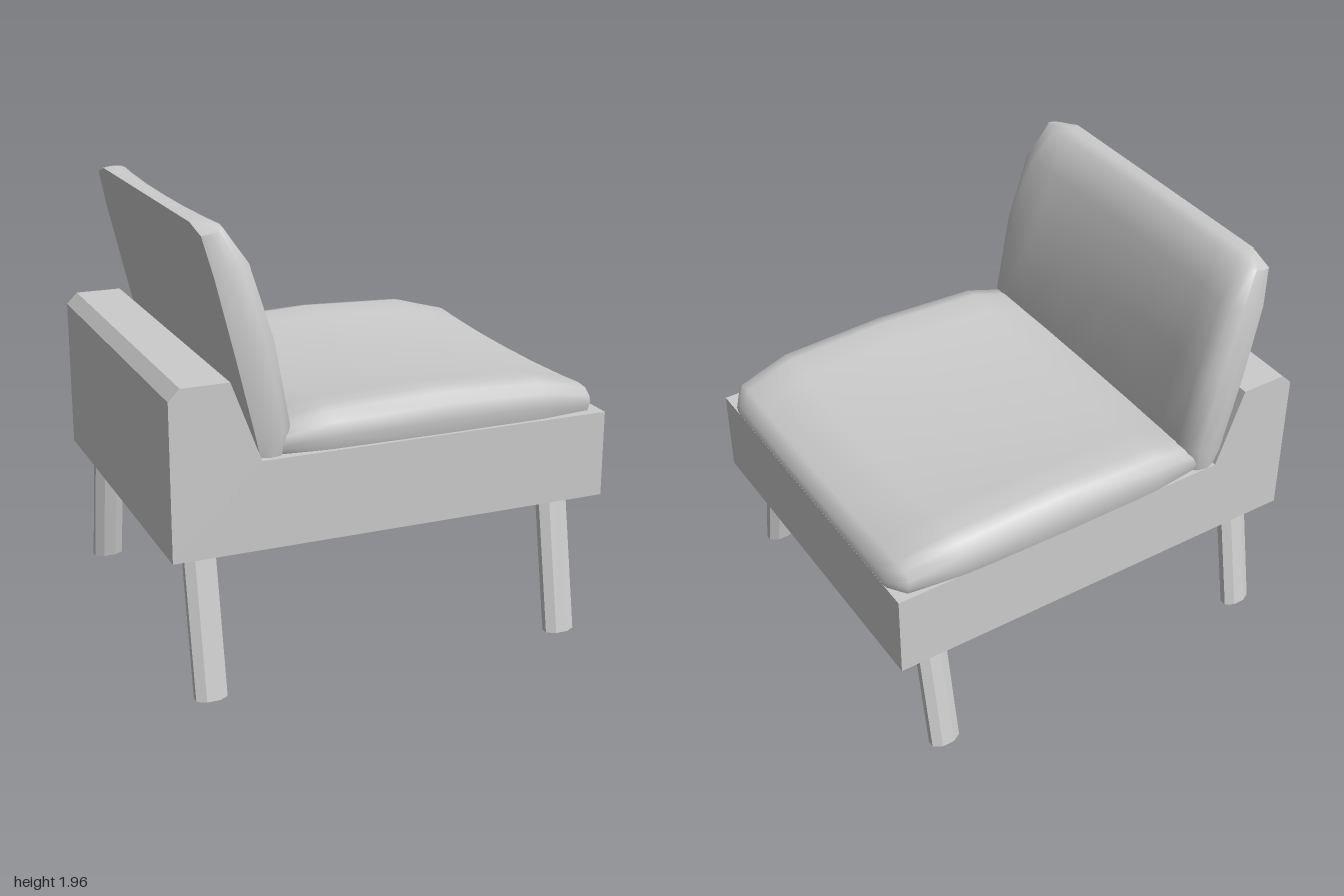
import * as THREE from 'three';
import { toCreasedNormals } from 'three/addons/utils/BufferGeometryUtils.js';

const grey = new THREE.MeshStandardMaterial({ color: 0xcccccc });
const greyDouble = new THREE.MeshStandardMaterial({ color: 0xcccccc, side: THREE.DoubleSide });

function part(name, geometry, material = grey) {
  const mesh = new THREE.Mesh(geometry, material);
  mesh.name = name;
  return mesh;
}

// Half of the cushion cross-section: [width fraction, height fraction], raised towards the sides
const HALF = [[0, 0.8], [0.35, 0.825], [0.7, 0.92], [0.87, 1], [0.95, 0.93], [0.99, 0.7], [1, 0.35], [0.98, 0]];
const SECTION = [
  ...HALF.slice(1).reverse().map(([z, h]) => [-z, h]),
  ...HALF,
  [0, 0],
];

// Cushion skinned over stations of [position, thickness, half width]
function cushionGeometry(stations) {
  const n = SECTION.length;
  const positions = [];
  const index = [];
  for (const [x, thick, width] of stations) {
    for (const [z, h] of SECTION) positions.push(x, h * thick, z * width);
  }
  for (let i = 0; i < stations.length - 1; i++) {
    for (let k = 0; k < n; k++) {
      const a = i * n + k, d = i * n + (k + 1) % n;
      const b = a + n, c = d + n;
      index.push(a, c, b, a, d, c);
    }
  }
  const geo = new THREE.BufferGeometry();
  geo.setAttribute('position', new THREE.Float32BufferAttribute(positions, 3));
  geo.setIndex(index);
  return toCreasedNormals(geo, 1.0);
}

// Hollow frame, open underneath: two side panels joined by strips along the outline
function buildFrame() {
  const frame = new THREE.Group();
  frame.name = 'frame';
  const outline = [[-1, 0.6], [-1, 1.29], [-0.95, 1.34], [-0.74, 1.34], [-0.61, 0.99], [1, 0.99], [1, 0.6]];
  const zLeft = 0.77, zRight = -0.84;
  const panel = new THREE.ShapeGeometry(new THREE.Shape(outline.map(([x, y]) => new THREE.Vector2(x, y))));
  for (const [name, z] of [['sidePanelFront', zLeft], ['sidePanelBack', zRight]]) {
    const side = part(name, panel, greyDouble);
    side.position.z = z;
    if (z < 0) {
      side.geometry = panel.clone().scale(-1, 1, 1);
      side.rotation.y = Math.PI;
    }
    frame.add(side);
  }
  const pos = [];
  for (let i = 0; i < outline.length - 1; i++) {
    const [x0, y0] = outline[i], [x1, y1] = outline[i + 1];
    pos.push(x0, y0, zRight, x0, y0, zLeft, x1, y1, zLeft);
    pos.push(x0, y0, zRight, x1, y1, zLeft, x1, y1, zRight);
  }
  const strip = new THREE.BufferGeometry();
  strip.setAttribute('position', new THREE.Float32BufferAttribute(pos, 3));
  strip.computeVertexNormals();
  frame.add(part('frameShell', strip, greyDouble));
  return frame;
}

// Splayed leg with an oval eight-sided section, sheared so both ends stay level
function legGeometry(side) {
  const height = 0.75;
  const geo = new THREE.CylinderGeometry(1, 1, height, 8);
  geo.rotateY(Math.PI / 8);
  geo.scale(0.074, 1, 0.042);
  geo.translate(0, height / 2, 0);
  const p = geo.attributes.position;
  for (let i = 0; i < p.count; i++) {
    p.setZ(i, p.getZ(i) + side * (0.805 - 0.19 * p.getY(i)));
  }
  return toCreasedNormals(geo, 0.3);
}

export function createModel() {
  const model = new THREE.Group();
  model.name = 'loungeChair';
  model.add(buildFrame());

  // Seat cushion, the same front and rear about its middle
  const seatHalf = [[0, 0.195, 0.815], [0.5, 0.175, 0.81], [0.74, 0.11, 0.78], [0.795, 0.055, 0.70], [0.8, 0, 0.66]];
  const seatStations = [
    ...seatHalf.slice(1).reverse().map(([x, h, w]) => [-x, h, w]),
    ...seatHalf,
  ];
  const seat = part('seatCushion', cushionGeometry(seatStations));
  seat.position.set(0.2, 0.985, -0.045);
  model.add(seat);

  // Back cushion, leaning on the sloped face of the frame
  const back = part('backCushion', cushionGeometry([
    [-1.0, 0, 0.64], [-0.99, 0.06, 0.68], [-0.965, 0.107, 0.77], [-0.8, 0.17, 0.805],
    [-0.47, 0.193, 0.815], [-0.09, 0.172, 0.81], [0.028, 0.116, 0.79], [0, 0, 0.78],
  ]));
  back.position.set(-0.605, 0.985, -0.045);
  back.rotation.z = Math.atan2(-0.97, 0.23);
  model.add(back);

  // Legs
  for (const side of [1, -1]) {
    for (const x of [-0.87, 0.78]) {
      const leg = part('leg', legGeometry(side));
      leg.position.set(x, 0, 0.015);
      model.add(leg);
    }
  }
  return model;
}
